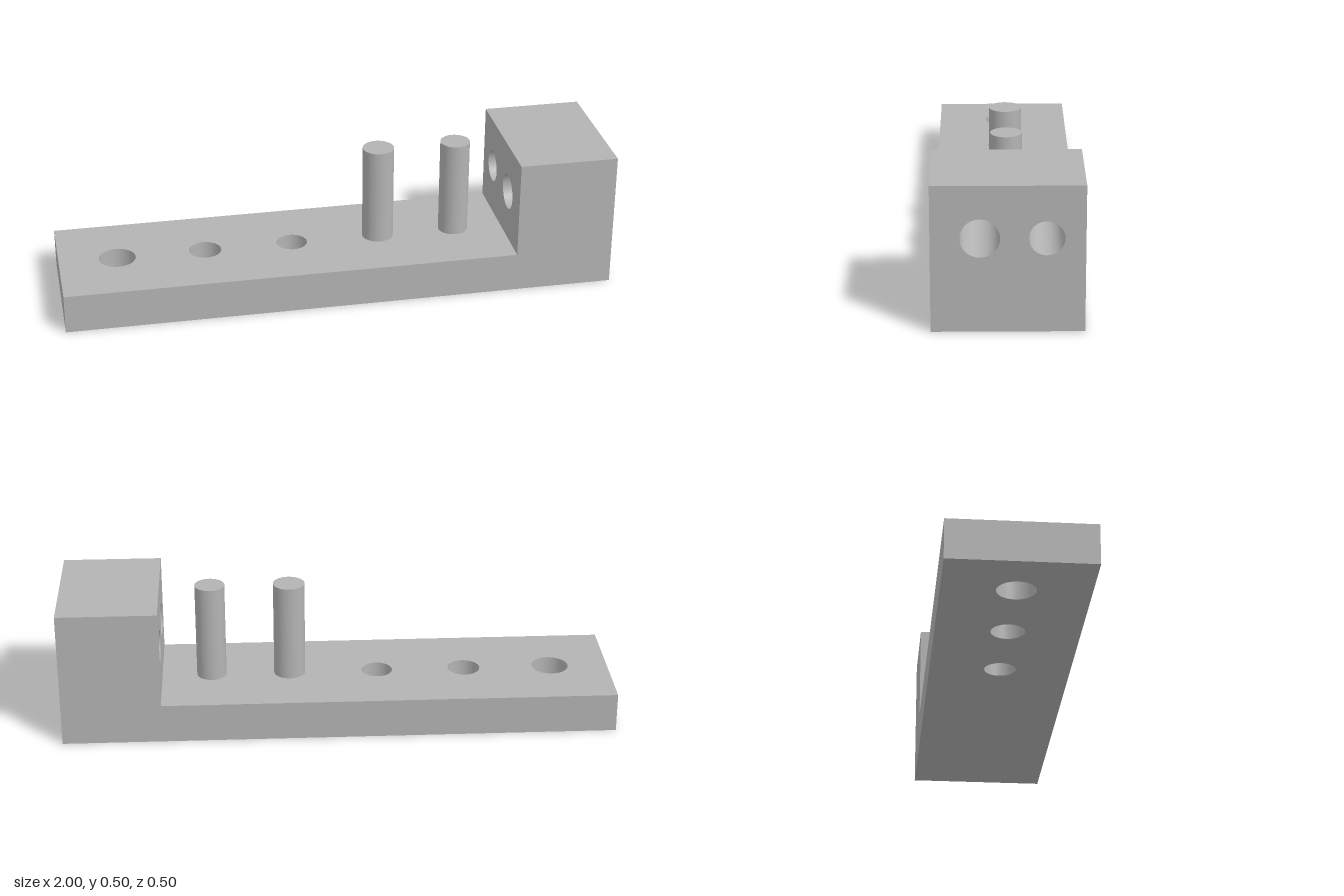
import * as THREE from 'three';
import { mergeGeometries } from 'three/addons/utils/BufferGeometryUtils.js';

const SEG = 48;
const HALF = 0.25;      // half the depth
const PLATE = 0.143;    // plate thickness
const STEP = 0.643;     // x where the end block starts
const TOP = 0.5;        // block and peg height

// Holes through the plate: [x, radius]
const plateHoles = [[-0.788, 0.067], [-0.467, 0.059], [-0.146, 0.056]];
// Holes through the end block: [z, radius]
const blockHoles = [[0.09, 0.065], [-0.125, 0.058]];
const BLOCK_HOLE_Y = 0.322;
// Pegs: [x, radius]
const pegs = [[0.176, 0.057], [0.462, 0.054]];

// Flat face in XY from (x0, y0) to (x1, y1), with round holes [x, y, r]
function panel(x0, y0, x1, y1, holes = []) {
  const shape = new THREE.Shape();
  shape.moveTo(x0, y0).lineTo(x1, y0).lineTo(x1, y1).lineTo(x0, y1).closePath();
  for (const [x, y, r] of holes) {
    shape.holes.push(new THREE.Path().absarc(x, y, r, 0, Math.PI * 2, true));
  }
  return new THREE.ShapeGeometry(shape, SEG / 2);
}

// Inward-facing wall of a hole, along y
function bore(radius, length) {
  const g = new THREE.CylinderGeometry(radius, radius, length, SEG, 1, true);
  g.index.array.reverse();
  const n = g.attributes.normal.array;
  for (let i = 0; i < n.length; i++) n[i] = -n[i];
  return g;
}

// L-shaped body: side profiles, outer faces and hole walls
function bodyGeometry() {
  const up = -Math.PI / 2, right = Math.PI / 2;
  const profile = new THREE.Shape([
    [-1, 0], [1, 0], [1, TOP], [STEP, TOP], [STEP, PLATE], [-1, PLATE],
  ].map(([x, y]) => new THREE.Vector2(x, y)));
  const floorHoles = plateHoles.map(([x, r]) => [x, 0, r]);
  const wallHoles = (sign) => blockHoles.map(([z, r]) => [sign * z, BLOCK_HOLE_Y, r]);

  const back = new THREE.ShapeGeometry(profile);
  back.index.array.reverse();
  back.attributes.normal.array.forEach((v, i, a) => { a[i] = -v; });

  const parts = [
    new THREE.ShapeGeometry(profile).translate(0, 0, HALF),
    back.translate(0, 0, -HALF),
    panel(-1, -HALF, STEP, HALF, floorHoles).rotateX(up).translate(0, PLATE, 0),
    panel(STEP, -HALF, 1, HALF).rotateX(up).translate(0, TOP, 0),
    panel(-1, -HALF, 1, HALF, floorHoles).rotateX(-up),
    panel(-HALF, 0, HALF, TOP, wallHoles(-1)).rotateY(right).translate(1, 0, 0),
    panel(-HALF, PLATE, HALF, TOP, wallHoles(1)).rotateY(-right).translate(STEP, 0, 0),
    panel(-HALF, 0, HALF, PLATE).rotateY(-right).translate(-1, 0, 0),
  ];
  for (const [x, r] of plateHoles) {
    parts.push(bore(r, PLATE).translate(x, PLATE / 2, 0));
  }
  for (const [z, r] of blockHoles) {
    parts.push(bore(r, 1 - STEP).rotateZ(Math.PI / 2)
      .translate((1 + STEP) / 2, BLOCK_HOLE_Y, z));
  }
  return mergeGeometries(parts);
}

export function createModel() {
  const model = new THREE.Group();
  model.name = 'peggedBracket';
  const grey = new THREE.MeshStandardMaterial({ color: 0xb3b3b3 });
  grey.name = 'grey';

  const body = new THREE.Mesh(bodyGeometry(), grey);
  body.name = 'body';
  model.add(body);

  // Upright pegs standing on the plate
  pegs.forEach(([x, r], i) => {
    const peg = new THREE.Mesh(new THREE.CylinderGeometry(r, r, TOP - PLATE, SEG), grey);
    peg.position.set(x, (TOP + PLATE) / 2, 0);
    peg.name = `peg${i + 1}`;
    model.add(peg);
  });
  return model;
}
